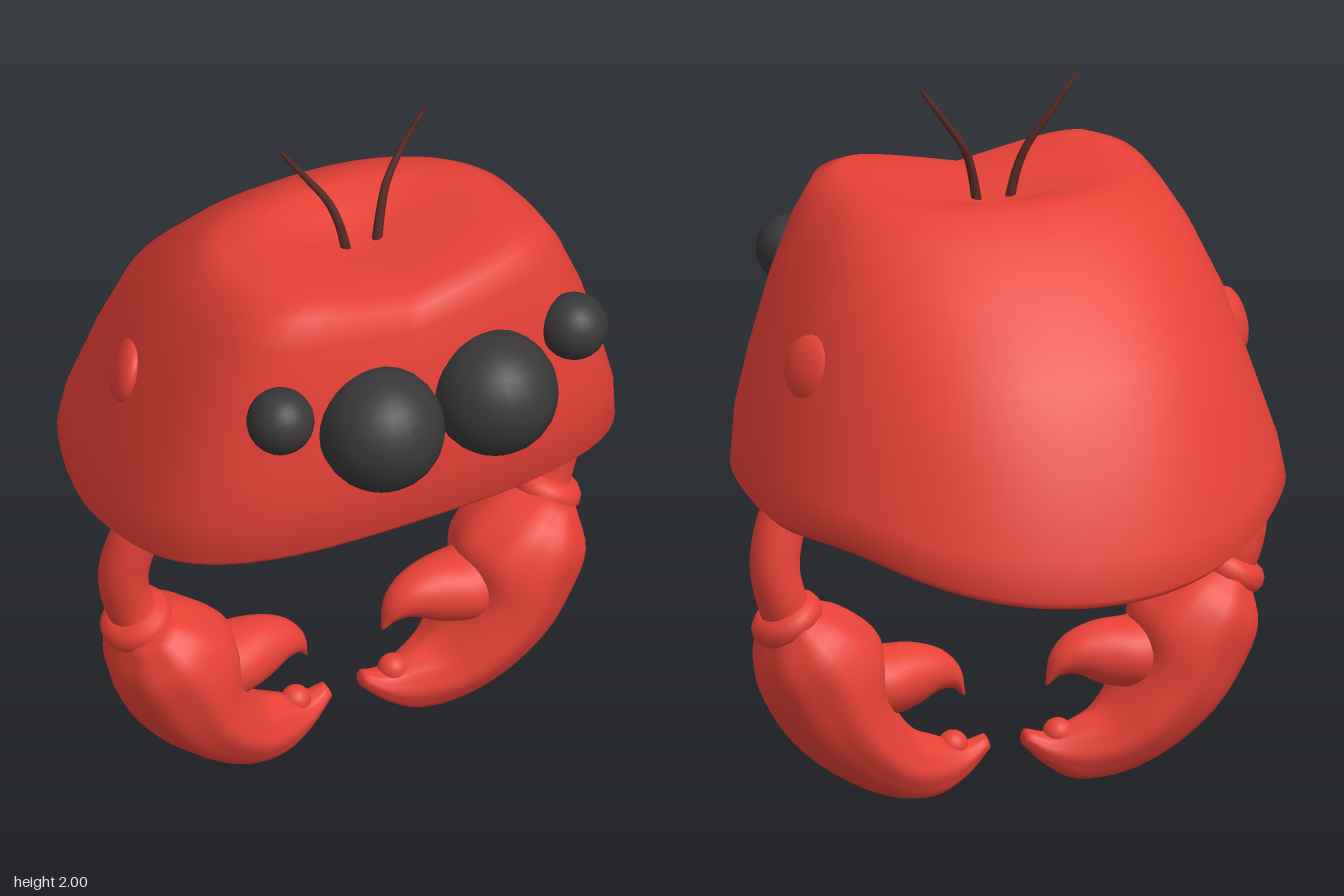
import * as THREE from 'three';
import { mergeVertices } from 'three/addons/utils/BufferGeometryUtils.js';

const V = (x, y, z) => new THREE.Vector3(x, y, z);

// Smooth skin over a list of closed rings of points
function skin(rings) {
  const n = rings[0].length, index = [];
  for (let i = 0; i < rings.length - 1; i++) {
    for (let j = 0; j < n; j++) {
      const a = i * n + j, b = i * n + (j + 1) % n;
      index.push(a, a + n, b, b, a + n, b + n);
    }
  }
  let geo = new THREE.BufferGeometry().setFromPoints(rings.flat());
  geo.setIndex(index);
  geo = mergeVertices(geo, 1e-5);
  geo.computeVertexNormals();
  return geo;
}

// Mirror a geometry across x = 0, keeping faces outward
function mirrored(geo) {
  const g = geo.clone().scale(-1, 1, 1), idx = g.index;
  for (let i = 0; i < idx.count; i += 3) {
    const a = idx.getX(i);
    idx.setX(i, idx.getX(i + 2));
    idx.setX(i + 2, a);
  }
  return g;
}

// Shell: stacked rounded outlines,
// each [height, slope, half width, front z, back z, middle z, front squareness, back squareness]
function shellGeometry() {
  const layers = [
    [0.895, 0.15, 0, 0.0, 0.0, 0, 2, 2],
    [0.880, 0.16, 0.40, 0.28, -0.42, 0.06, 2.6, 2.1],
    [0.872, 0.165, 0.60, 0.42, -0.61, 0.08, 2.8, 2.1],
    [0.873, 0.14, 0.70, 0.50, -0.725, 0.08, 2.9, 2.15],
    [0.905, 0.14, 0.735, 0.54, -0.758, 0.08, 2.9, 2.15],
    [1.03, 0.16, 0.714, 0.565, -0.738, 0.09, 3, 2.2],
    [1.20, 0.10, 0.662, 0.567, -0.66, 0.13, 3.1, 2.25],
    [1.40, 0.10, 0.597, 0.545, -0.54, 0.14, 3.3, 2.3],
    [1.555, 0.12, 0.525, 0.515, -0.37, 0.14, 3.7, 2.25],
    [1.65, 0.11, 0.465, 0.492, -0.23, 0.14, 4.1, 2.15],
    [1.705, 0.055, 0.395, 0.45, -0.11, 0.14, 4.1, 2.1],
    [1.712, 0.045, 0.26, 0.33, -0.04, 0.14, 3.5, 2.1],
    [1.708, 0.03, 0.12, 0.23, 0.05, 0.14, 2.9, 2.1],
    [1.706, 0.02, 0, 0.14, 0.14, 0.14, 2, 2],
  ];
  const N = 72, { clamp, smoothstep } = THREE.MathUtils;
  return skin(layers.map(([y, k, w, zf, zb, zc, nf, nb], i) => {
    const notch = 0.07 * clamp((i - 7) / 2, 0, 1);
    const lift = 0.2 * clamp((6 - i) / 2, 0, 1);
    return Array.from({ length: N }, (_, j) => {
      const t = j / N * Math.PI * 2, c = Math.cos(t), s = Math.sin(t);
      const n = s > 0 ? nf : nb;
      const r = Math.pow(Math.abs(c) ** n + Math.abs(s) ** n, -1 / n);
      const x = w * c * r, z = zc + (s > 0 ? zf - zc : zc - zb) * s * r;
      // Valley along the middle of the brow, and a rear rim that rises to the sides
      const dip = notch * Math.max(0, 1 - Math.abs(x) / 0.33) * smoothstep(z, -0.08, 0.14);
      const rise = lift * x * x * smoothstep(-z, 0, 0.5);
      return V(x, y + k * z - dip + rise, z);
    });
  }));
}

// Claw piece: oval sections between an upper and a lower edge, each [ux, uy, lx, ly, half depth]
function clawGeometry(sections, flute) {
  const steps = 32, N = 40, z0 = 0.07;
  const upper = new THREE.CatmullRomCurve3(sections.map(s => V(s[0], s[1], s[4])));
  const lower = new THREE.CatmullRomCurve3(sections.map(s => V(s[2], s[3], s[4])));
  const rings = [];
  for (let i = 0; i <= steps; i++) {
    const u = upper.getPoint(i / steps), l = lower.getPoint(i / steps);
    const mx = (u.x + l.x) / 2, my = (u.y + l.y) / 2;
    const ring = [];
    for (let j = 0; j < N; j++) {
      const t = j / N * Math.PI * 2;
      const f = 1 + flute * (Math.cos(8 * t) - 1), c = f * Math.cos(t) / 2;
      ring.push(V(mx + (u.x - l.x) * c, my + (u.y - l.y) * c, z0 + u.z * f * Math.sin(t)));
    }
    const cap = ring.map(() => V(mx, my, z0));
    if (i === 0) rings.push(cap);
    rings.push(ring);
    if (i === steps) rings.push(cap);
  }
  return skin(rings);
}

// Tube that thins to a point
function feelerGeometry(points, radius) {
  const path = new THREE.CatmullRomCurve3(points), steps = 20, sides = 8;
  const geo = new THREE.TubeGeometry(path, steps, radius, sides);
  const pos = geo.attributes.position, p = V(0, 0, 0);
  for (let i = 0; i < pos.count; i++) {
    const t = Math.floor(i / (sides + 1)) / steps;
    p.fromBufferAttribute(pos, i).lerp(path.getPointAt(t), t === 1 ? 1 : 0.6 * t);
    pos.setXYZ(i, p.x, p.y, p.z);
  }
  return geo;
}

function collarGeometry(center, axis, R, r) {
  const q = new THREE.Quaternion().setFromUnitVectors(V(0, 0, 1), axis.normalize());
  return new THREE.TorusGeometry(R, r, 12, 28).applyQuaternion(q).translate(...center);
}

export function createModel() {
  const group = new THREE.Group();
  const material = (name, color) => {
    const m = new THREE.MeshStandardMaterial({ color });
    m.name = name;
    return m;
  };
  const red = material('shell red', 0xe84135);
  const black = material('eye black', 0x383636);
  const brown = material('antenna brown', 0x5a2a26);

  const add = (name, geo, mat) => {
    const mesh = new THREE.Mesh(geo, mat);
    mesh.name = name;
    group.add(mesh);
  };
  const pair = (name, geo, mat) => {
    add(name + 'Left', geo, mat);
    add(name + 'Right', mirrored(geo), mat);
  };
  const ball = (r, x, y, z) => new THREE.SphereGeometry(r, 24, 16).translate(x, y, z);

  add('shell', shellGeometry(), red);

  // Eyes and side bumps
  pair('mainEye', ball(0.172, 0.175, 1.355, 0.585), black);
  pair('sideEye', ball(0.092, 0.453, 1.44, 0.525), black);
  pair('sideBump', ball(0.09, 0, 0, 0).scale(0.42, 1, 1)
    .rotateZ(0.3).rotateY(0.42).translate(0.603, 1.305, -0.055), red);

  // Antennae
  pair('antenna', feelerGeometry([
    V(0.045, 1.63, 0.167), V(0.065, 1.73, 0.155), V(0.09, 1.8, 0.14),
    V(0.15, 1.89, 0.122), V(0.228, 2.0, 0.12),
  ], 0.015), brown);

  // Arms with a collar at each end
  const arm = new THREE.CatmullRomCurve3([
    V(0.57, 0.95, 0.07), V(0.64, 0.84, 0.06), V(0.668, 0.72, 0.045),
    V(0.65, 0.62, 0.04), V(0.61, 0.53, 0.055),
  ]);
  pair('arm', new THREE.TubeGeometry(arm, 24, 0.068, 18), red);
  pair('shoulderCollar', collarGeometry([0.605, 0.89, 0.065], V(-0.5, 0.86, 0), 0.058, 0.025), red);
  pair('wristCollar', collarGeometry([0.632, 0.56, 0.05], V(-0.5, -0.86, 0), 0.06, 0.043), red);

  // Claws: fluted palm running into the lower finger, and a hooked upper finger
  pair('palm', clawGeometry([
    [0.57, 0.60, 0.69, 0.52, 0.11],
    [0.46, 0.565, 0.71, 0.40, 0.182],
    [0.362, 0.475, 0.67, 0.29, 0.195],
    [0.355, 0.36, 0.58, 0.17, 0.187],
    [0.315, 0.265, 0.45, 0.07, 0.162],
    [0.262, 0.198, 0.32, 0.012, 0.122],
    [0.20, 0.172, 0.20, 0.003, 0.083],
    [0.125, 0.145, 0.11, 0.055, 0.052],
    [0.06, 0.16, 0.047, 0.118, 0.026],
  ], 0.022), red);
  pair('lowerFingerTooth', ball(0.042, 0.15, 0.138, 0.07), red);
  pair('upperFinger', clawGeometry([
    [0.43, 0.45, 0.43, 0.25, 0.11],
    [0.35, 0.443, 0.36, 0.25, 0.115],
    [0.26, 0.44, 0.27, 0.268, 0.09],
    [0.18, 0.412, 0.20, 0.302, 0.062],
    [0.132, 0.36, 0.155, 0.303, 0.037],
    [0.115, 0.28, 0.121, 0.277, 0.006],
  ], 0), red);

  return group;
}
